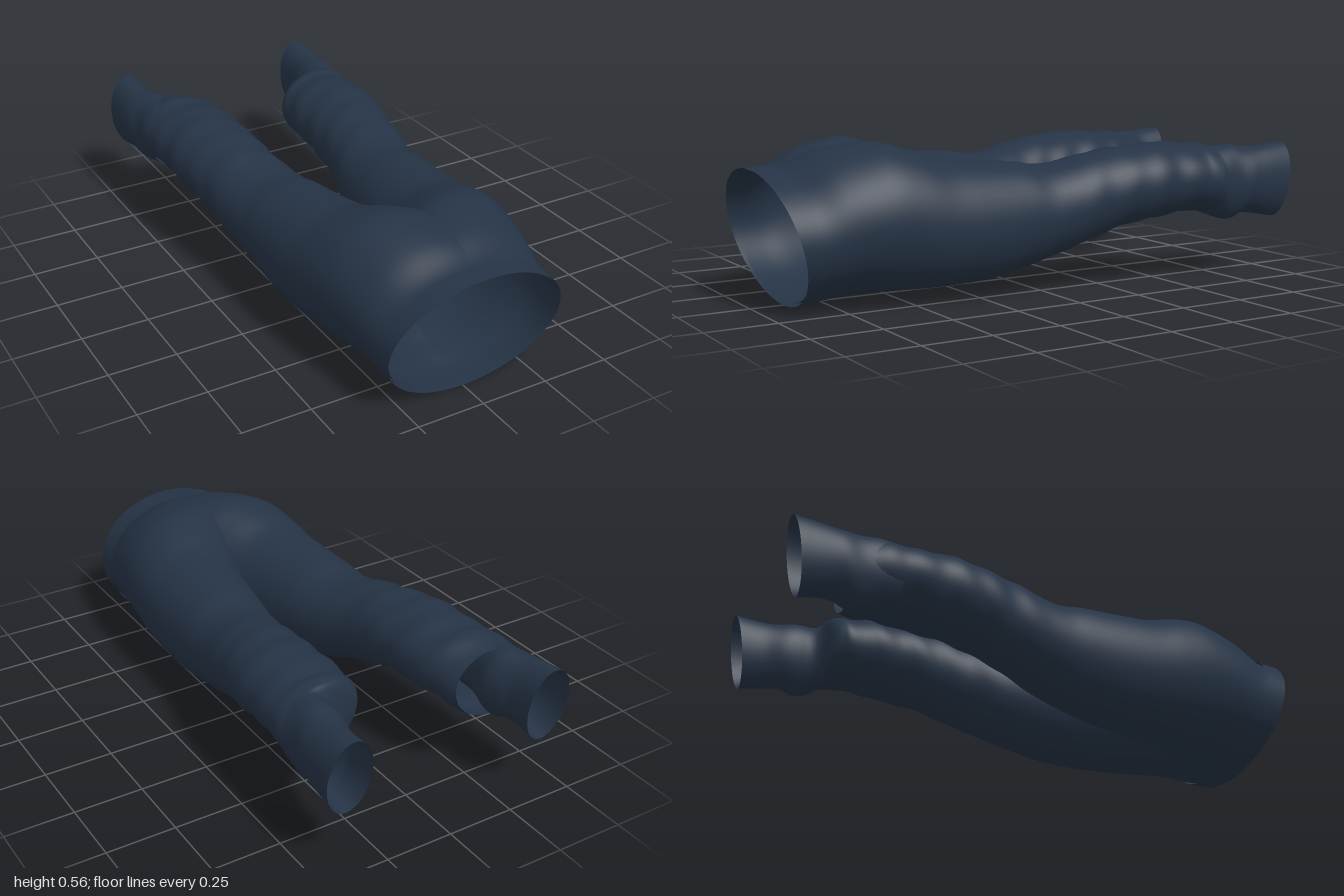
import * as THREE from 'three';
import { mergeVertices } from 'three/addons/utils/BufferGeometryUtils.js';

// Cross-sections: [z, outer x, inner x, top y, bottom y, shear of z with height]
// An inner x below zero means the halves still share one opening.
const BODY = [
  [0.99, 0.325, -0.325, 0.468, 0.012, 0.25],
  [0.9, 0.335, -0.31, 0.475, 0.014, 0.23],
  [0.8, 0.35, -0.25, 0.52, 0.028, 0.15],
  [0.7, 0.365, -0.2, 0.545, 0.036, 0.07],
  [0.6, 0.377, -0.14, 0.555, 0.04, 0],
  [0.5, 0.386, -0.08, 0.53, 0.042, 0],
  [0.4, 0.391, -0.03, 0.495, 0.045, 0],
  [0.3, 0.394, 0.0, 0.482, 0.05, 0],
  [0.2, 0.395, 0.02, 0.475, 0.06, 0],
  [0.1, 0.395, 0.04, 0.468, 0.082, 0],
  [0, 0.397, 0.06, 0.453, 0.11, 0],
  [-0.1, 0.408, 0.085, 0.468, 0.145, 0],
  [-0.2, 0.42, 0.107, 0.488, 0.18, 0],
  [-0.3, 0.436, 0.116, 0.503, 0.212, 0],
  [-0.4, 0.449, 0.12, 0.511, 0.23, 0],
  [-0.5, 0.455, 0.12, 0.513, 0.242, 0],
  [-0.6, 0.459, 0.13, 0.505, 0.25, 0],
];
// Left calf: the fold closes quickly down to the narrow hem
const CLOSED_END = [
  [-0.64, 0.46, 0.14, 0.51, 0.248, 0],
  [-0.675, 0.46, 0.165, 0.5, 0.24, 0],
  [-0.7, 0.459, 0.25, 0.49, 0.228, 0],
  [-0.76, 0.46, 0.278, 0.5, 0.22, 0],
  [-0.82, 0.466, 0.282, 0.487, 0.235, -0.03],
  [-0.9, 0.47, 0.303, 0.49, 0.23, -0.09],
  [-1, 0.473, 0.307, 0.5, 0.215, -0.14],
];
// Right calf: the fold stays open, with a separate hem tube inside it
const OPEN_END = [
  [-0.66, 0.46, 0.14, 0.508, 0.248, 0],
  [-0.72, 0.459, 0.15, 0.495, 0.24, 0],
  [-0.77, 0.459, 0.168, 0.485, 0.245, 0.05],
];
const HEM = [
  [-0.62, 0.45, 0.29, 0.488, 0.255, 0],
  [-0.7, 0.455, 0.288, 0.488, 0.24, 0],
  [-0.78, 0.462, 0.272, 0.49, 0.22, 0],
  [-0.84, 0.468, 0.285, 0.487, 0.235, -0.04],
  [-0.9, 0.47, 0.305, 0.49, 0.23, -0.09],
  [-1, 0.473, 0.307, 0.5, 0.215, -0.14],
];
const BAND = [
  [1, 0.33, -0.33, 0.474, 0.0, 0.25],
  [0.96, 0.334, -0.334, 0.477, 0.002, 0.245],
  [0.92, 0.338, -0.335, 0.48, 0.006, 0.235],
];

// Soft cloth folds, strongest below the knee and fading at the hem
function fold(z, a) {
  const amount = THREE.MathUtils.smoothstep(-z, -0.15, 0.35) *
    (1 - THREE.MathUtils.smoothstep(-z, 0.78, 0.92));
  return 1 + amount * (0.018 * Math.sin(z * 46 + 2.2 * Math.sin(a + 0.6)) +
    0.012 * Math.sin(z * 23 - 3 * Math.cos(a)));
}

// Lofts one half through its sections; side is +1 for left, -1 for right
function loft(sections, side) {
  const plan = new THREE.CatmullRomCurve3(
    sections.map(s => new THREE.Vector3(s[0], s[1], s[2])), false, 'catmullrom', 0.5);
  const height = new THREE.CatmullRomCurve3(
    sections.map(s => new THREE.Vector3(s[3], s[4], s[5])), false, 'catmullrom', 0.5);
  const rows = (sections.length - 1) * 5, cols = 48;
  const pos = [], index = [];
  for (let i = 0; i <= rows; i++) {
    const { x: z, y: outer, z: inner } = plan.getPoint(i / rows);
    const { x: top, y: bottom, z: shear } = height.getPoint(i / rows);
    const cx = (outer + inner) / 2, rx = (outer - inner) / 2;
    const cy = (top + bottom) / 2, ry = (top - bottom) / 2;
    // Stop the arc at the centre plane while the halves are joined
    const reach = Math.acos(Math.max(-1, -cx / rx));
    for (let j = 0; j <= cols; j++) {
      const a = reach * (2 * j / cols - 1), k = fold(z, a);
      const y = cy + ry * k * Math.sin(a);
      const x = Math.max(0, cx + rx * k * Math.cos(a));
      pos.push(side * x, y, z + shear * (y - top));
      if (i < rows && j < cols) {
        const p = i * (cols + 1) + j, q = p + cols + 1;
        if (side > 0) index.push(p, q, p + 1, p + 1, q, q + 1);
        else index.push(p, p + 1, q, p + 1, q + 1, q);
      }
    }
  }
  const g = new THREE.BufferGeometry();
  g.setAttribute('position', new THREE.Float32BufferAttribute(pos, 3));
  g.setIndex(index);
  const merged = mergeVertices(g, 1e-5);
  merged.computeVertexNormals();
  return merged;
}

export function createModel() {
  const group = new THREE.Group();
  const navyCloth = new THREE.MeshStandardMaterial({ color: 0x253345, side: THREE.DoubleSide });
  const add = (name, sections, side) => {
    const mesh = new THREE.Mesh(loft(sections, side), navyCloth);
    mesh.name = name;
    group.add(mesh);
  };

  // Trouser halves
  add('leftTrouserLeg', [...BODY, ...CLOSED_END], 1);
  add('rightTrouserLeg', [...BODY, ...OPEN_END], -1);
  add('rightHem', HEM, -1);

  // Waistband
  add('leftWaistband', BAND, 1);
  add('rightWaistband', BAND, -1);
  return group;
}
